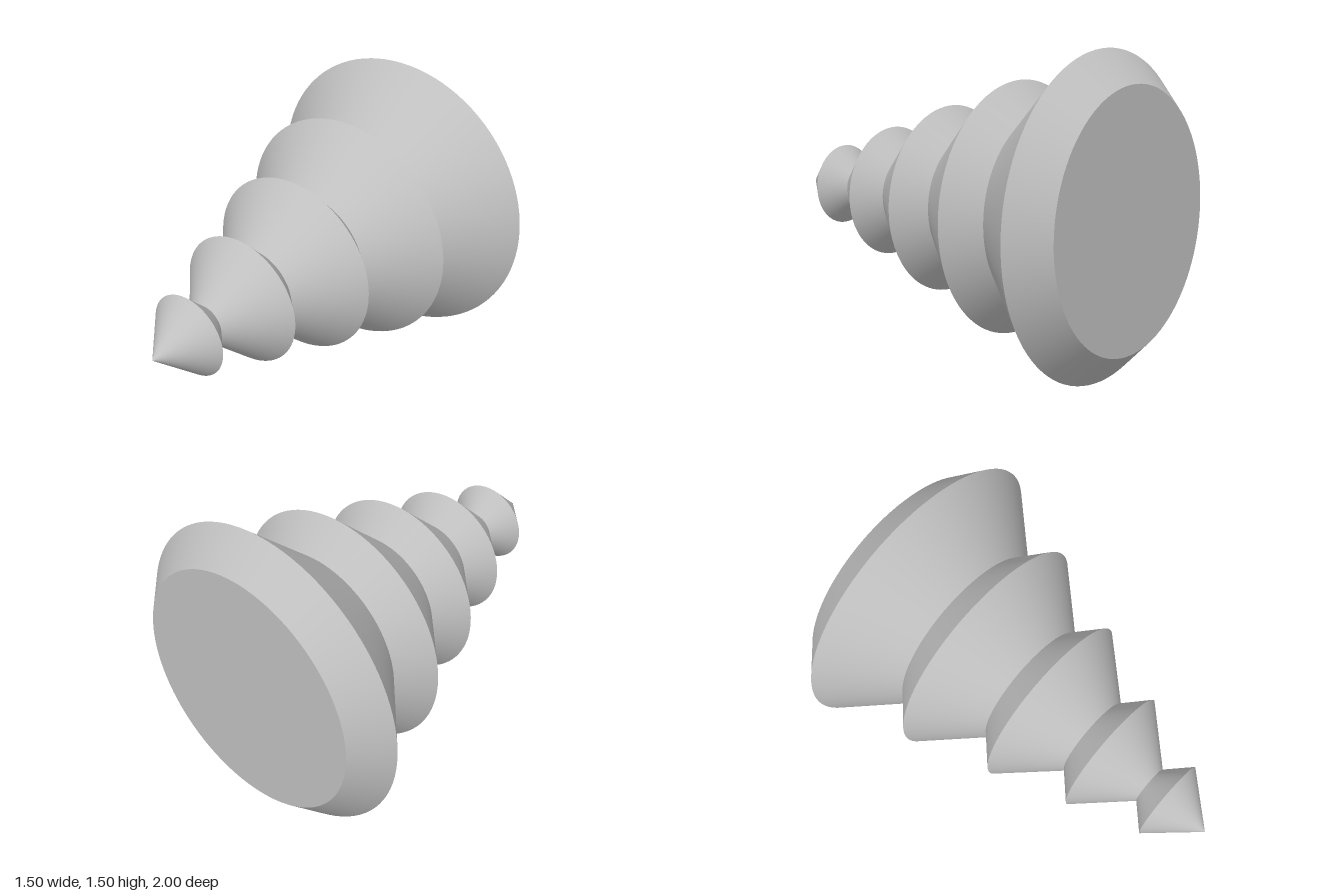
import * as THREE from 'three';

const SEGMENTS = 96;
const AXIS_HEIGHT = 0.75;

// Alternating rims and necks from the tip to the base: [z, radius]
const PROFILE = [
  [1, 0], [0.77, 0.205],
  [0.66, 0.097], [0.415, 0.325],
  [0.3, 0.21], [0.03, 0.455],
  [-0.1, 0.328], [-0.39, 0.595],
  [-0.53, 0.458], [-0.85, 0.75],
  [-1, 0.6],
];

export function createModel() {
  const grey = new THREE.MeshStandardMaterial({ color: 0xc0c0c0 });
  grey.name = 'grey';
  const model = new THREE.Group();
  model.name = 'tieredCone';

  // One open frustum between two profile points, lying along z
  const frustum = (name, [zFront, rFront], [zBack, rBack]) => {
    const geometry = new THREE.CylinderGeometry(rFront, rBack, zFront - zBack, SEGMENTS, 1, true);
    geometry.rotateX(Math.PI / 2);
    const mesh = new THREE.Mesh(geometry, grey);
    mesh.name = name;
    mesh.position.set(0, AXIS_HEIGHT, (zFront + zBack) / 2);
    return mesh;
  };

  // Each tier flares out to a sharp rim, then tapers back in behind it
  for (let i = 0; i < PROFILE.length - 1; i += 2) {
    const tier = new THREE.Group();
    tier.name = `tier${i / 2 + 1}`;
    tier.add(
      frustum('flare', PROFILE[i], PROFILE[i + 1]),
      frustum('taper', PROFILE[i + 1], PROFILE[i + 2]),
    );
    model.add(tier);
  }

  // Flat disc closing the back
  const [zBase, rBase] = PROFILE[PROFILE.length - 1];
  const base = new THREE.Mesh(new THREE.CircleGeometry(rBase, SEGMENTS), grey);
  base.name = 'base';
  base.rotation.y = Math.PI;
  base.position.set(0, AXIS_HEIGHT, zBase);
  model.add(base);

  return model;
}
